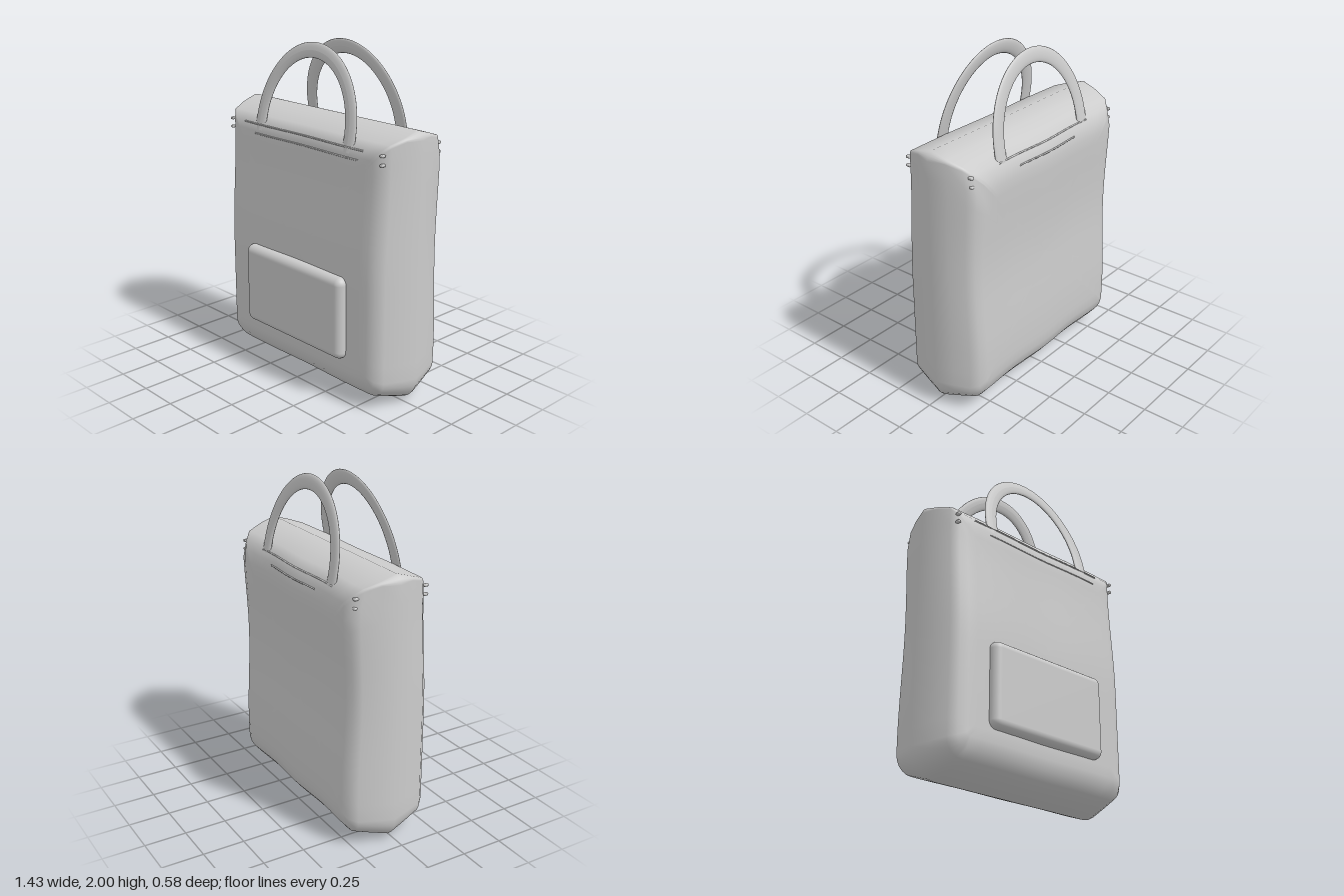
import * as THREE from 'three';
import { RoundedBoxGeometry } from 'three/addons/geometries/RoundedBoxGeometry.js';

const material = new THREE.MeshStandardMaterial({ color: 0xcccccc, side: THREE.DoubleSide });
const MID_Z = -0.025, HALF_W = 0.713, TOP = 1.6;
const smooth = THREE.MathUtils.smoothstep;

// Soft, slightly uneven cloth panels
const frontZ = (x, y) => 0.205 + 0.033 * (1 - smooth(y, 0.75, 1.45)) - 0.004 * Math.cos(x * 9);
const backZ = (x, y) => -0.27 - 0.012 * Math.cos((y - 0.3) * 5.2) - 0.006 * Math.cos(x * 11)
  + 0.03 * smooth(y, 1.4, 1.52);

// Rounded outline of the bag, drawn inward by d, counterclockwise
function outline(d) {
  const w = HALF_W - d, top = TOP - d, bottom = d * 1.25;
  const rTop = Math.max(0.05 - d, 0.015), rLow = Math.max(0.16 - d, 0.02);
  const corners = [
    [w - rTop, top - rTop, rTop, 0], [-w + rTop, top - rTop, rTop, 1],
    [-w + rLow, bottom + rLow, rLow, 2], [w - rLow, bottom + rLow, rLow, 3],
  ];
  const arcs = corners.map(([cx, cy, r, q]) => Array.from({ length: 6 }, (_, i) => {
    const a = (q + i / 5) * Math.PI / 2;
    return new THREE.Vector2(cx + r * Math.cos(a), cy + r * Math.sin(a));
  }));
  const points = [];
  arcs.forEach((arc, k) => {
    points.push(...arc);
    const next = arcs[(k + 1) % 4][0];
    for (let i = 1; i < 14; i++) points.push(arc[5].clone().lerp(next, i / 14));
  });
  return points;
}

// Body: rings run from the back centre, over the side ridge, to the front centre
function bodyGeometry() {
  const half = [[0, 0, 0], [0.03, 0.42, 0], [0.06, 0.8, 0], [0.1, 0.95, 0], [0.15, 1, 0]];
  for (let i = 1; i <= 10; i++) half.push([0.15, 1, i / 10]);
  const rows = [
    ...half.slice(1).reverse().map((h) => [...h, backZ]),
    ...half.map((h) => [...h, frontZ]),
  ];
  const centre = new THREE.Vector2(0, 0.8), positions = [], index = [];
  let count = 0;
  rows.forEach(([d, depth, shrink, face], i) => {
    const ring = outline(d);
    count = ring.length;
    ring.forEach((p, j) => {
      p.lerp(centre, shrink);
      positions.push(p.x, p.y, MID_Z + depth * (face(p.x, p.y) - MID_Z));
      if (i === rows.length - 1) return;
      const k = (j + 1) % count, a = i * count + j, b = i * count + k;
      index.push(a, b, b + count, a, b + count, a + count);
    });
  });
  const geometry = new THREE.BufferGeometry();
  geometry.setAttribute('position', new THREE.Float32BufferAttribute(positions, 3));
  geometry.setIndex(index);
  geometry.computeVertexNormals();
  return geometry;
}

// Handle: flattened arched tube leaning toward the middle of the bag
function handleGeometry(baseZ, topZ) {
  const points = [new THREE.Vector3(0.367, 1.46, 0)];
  for (let i = 0; i <= 16; i++) {
    const a = Math.PI * i / 16;
    points.push(new THREE.Vector3(0.367 * Math.cos(a), 1.53 + 0.427 * Math.sin(a), 0));
  }
  points.push(new THREE.Vector3(-0.367, 1.46, 0));
  const geometry = new THREE.TubeGeometry(new THREE.CatmullRomCurve3(points), 64, 0.043, 16);
  const pos = geometry.attributes.position;
  for (let i = 0; i < pos.count; i++) {
    const lean = THREE.MathUtils.lerp(baseZ, topZ, (pos.getY(i) - 1.5) / 0.5);
    pos.setZ(i, pos.getZ(i) * 0.3 + lean);
  }
  geometry.computeVertexNormals();
  return geometry;
}

// Seam: thin cord lying on a panel
function seamGeometry(x0, x1, y, surface) {
  const points = Array.from({ length: 13 }, (_, i) => {
    const x = THREE.MathUtils.lerp(x0, x1, i / 12);
    return new THREE.Vector3(x, y, surface(x, y));
  });
  return new THREE.TubeGeometry(new THREE.CatmullRomCurve3(points), 36, 0.005, 6);
}

export function createModel() {
  const bag = new THREE.Group();
  bag.name = 'handbag';
  const add = (name, geometry, x = 0, y = 0, z = 0) => {
    const mesh = new THREE.Mesh(geometry, material);
    mesh.name = name;
    mesh.position.set(x, y, z);
    bag.add(mesh);
    return mesh;
  };

  add('body', bodyGeometry());
  add('frontPocket', new RoundedBoxGeometry(0.83, 0.495, 0.14, 5, 0.045), -0.005, 0.508, 0.225);
  add('frontHandle', handleGeometry(0.187, 0.082));
  add('backHandle', handleGeometry(-0.233, -0.132));

  // Seams below the top edge
  add('frontUpperSeam', seamGeometry(-0.51, 0.49, 1.49, (x, y) => MID_Z + 0.96 * (frontZ(x, y) - MID_Z)));
  add('frontLowerSeam', seamGeometry(-0.4, 0.46, 1.435, frontZ));
  add('backUpperSeam', seamGeometry(-0.4, 0.4, 1.49, (x, y) => MID_Z + 0.96 * (backZ(x, y) - MID_Z)));
  add('backLowerSeam', seamGeometry(-0.25, 0.25, 1.435, backZ));

  // Pairs of small studs near the upper corners
  const stud = new RoundedBoxGeometry(0.022, 0.016, 0.03, 2, 0.006);
  for (const x of [-0.625, 0.625]) for (const y of [1.437, 1.488]) {
    add('frontStud', stud, x, y, 0.193);
    add('backStud', stud, x, y, -0.245);
  }
  return bag;
}
